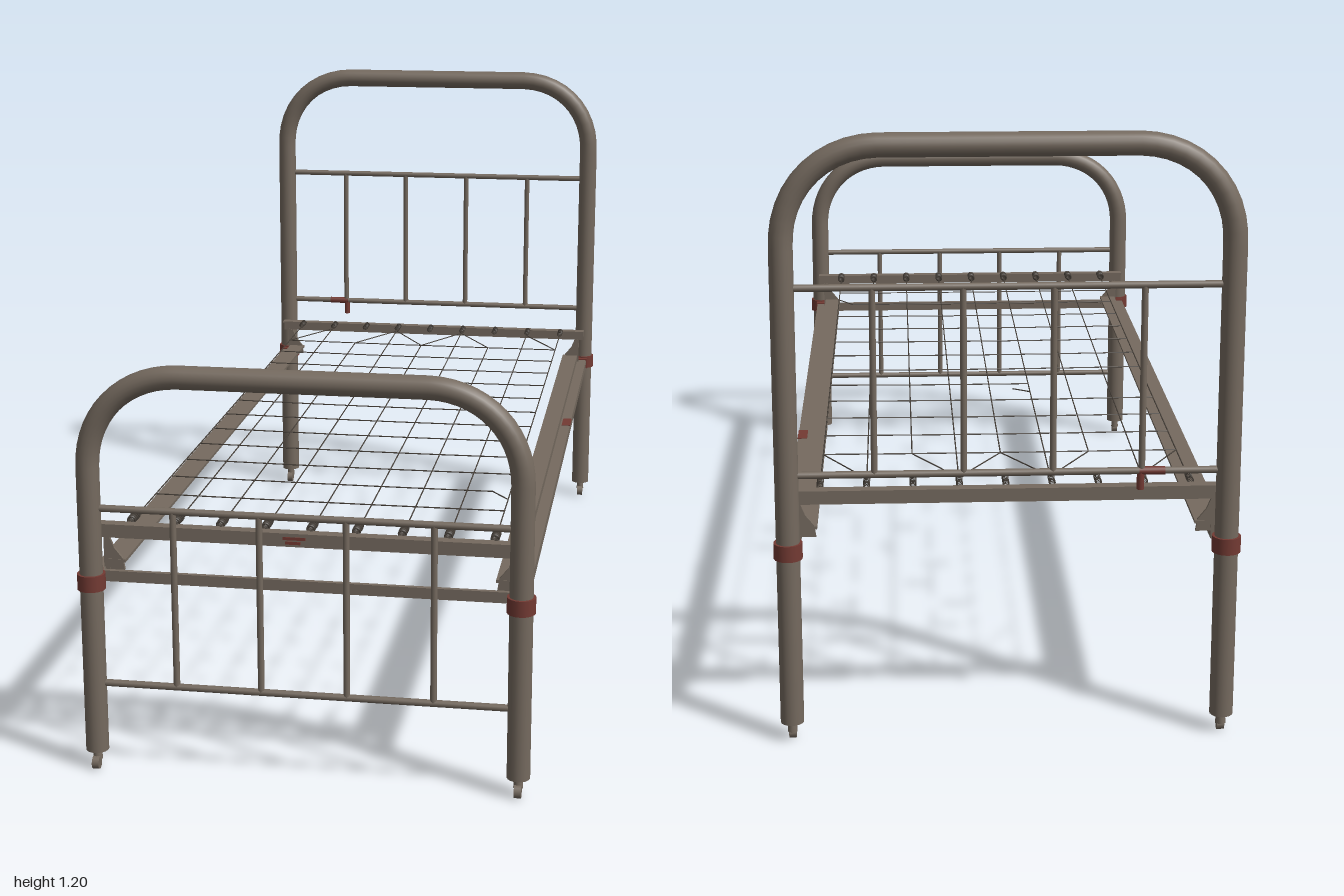
import * as THREE from 'three';
import { mergeGeometries } from 'three/addons/utils/BufferGeometryUtils.js';

const V = (x, y, z) => new THREE.Vector3(x, y, z);
const mat = (name, color) => {
  const m = new THREE.MeshStandardMaterial({ color, side: THREE.DoubleSide });
  m.name = name;
  return m;
};

const LEG_X = 0.422, END_Z = 0.972, TUBE_R = 0.023, NET_Y = 0.491;

export function createModel() {
  const bed = new THREE.Group();
  bed.name = 'ironBed';
  const metal = mat('agedMetal', 0x756a5f);
  const rust = mat('rust', 0x733a33);
  const wireMat = mat('darkWire', 0x4a433c);

  const add = (parent, name, geometry, material = metal) => {
    const mesh = new THREE.Mesh(geometry, material);
    mesh.name = name;
    parent.add(mesh);
    return mesh;
  };
  // Box given by its lower and upper corners
  const box = (parent, name, a, b, material) => {
    const g = new THREE.BoxGeometry(b[0] - a[0], b[1] - a[1], b[2] - a[2]);
    g.translate((a[0] + b[0]) / 2, (a[1] + b[1]) / 2, (a[2] + b[2]) / 2);
    return add(parent, name, g, material);
  };
  // Round rod between two points
  const rodGeo = (a, b, r, sides = 10) => {
    const d = b.clone().sub(a);
    const g = new THREE.CylinderGeometry(r, r, d.length(), sides);
    g.applyQuaternion(new THREE.Quaternion().setFromUnitVectors(V(0, 1, 0), d.normalize()));
    const m = a.clone().add(b).multiplyScalar(0.5);
    return g.translate(m.x, m.y, m.z);
  };

  // Bent tube end with rails, bars, collars and casters
  const endFrame = (name, z, topY, lowRail, highRail) => {
    const group = new THREE.Group();
    group.name = name;
    group.position.z = z;
    bed.add(group);

    const c = 0.185, k = c * 0.42, x = LEG_X, base = 0.04;
    const path = new THREE.CurvePath();
    path.add(new THREE.LineCurve3(V(-x, base, 0), V(-x, topY - c, 0)));
    path.add(new THREE.CubicBezierCurve3(V(-x, topY - c, 0), V(-x, topY - k, 0), V(-x + k, topY, 0), V(-x + c, topY, 0)));
    path.add(new THREE.LineCurve3(V(-x + c, topY, 0), V(x - c, topY, 0)));
    path.add(new THREE.CubicBezierCurve3(V(x - c, topY, 0), V(x - k, topY, 0), V(x, topY - k, 0), V(x, topY - c, 0)));
    path.add(new THREE.LineCurve3(V(x, topY - c, 0), V(x, base, 0)));
    add(group, 'bentTube', new THREE.TubeGeometry(path, 110, TUBE_R, 18));

    for (const y of [lowRail, highRail])
      add(group, 'crossRod', rodGeo(V(-x, y, 0), V(x, y, 0), 0.007));
    for (const bx of [-0.255, -0.085, 0.085, 0.255])
      add(group, 'uprightBar', rodGeo(V(bx, lowRail, 0), V(bx, highRail, 0), 0.0065));

    for (const s of [-1, 1]) {
      add(group, 'legCap', new THREE.CylinderGeometry(TUBE_R, TUBE_R, 0.004, 18)).position.set(s * x, 0.041, 0);
      add(group, 'collar', new THREE.CylinderGeometry(0.028, 0.028, 0.032, 18), rust).position.set(s * x, 0.395, 0);
      add(group, 'casterStem', new THREE.CylinderGeometry(0.008, 0.01, 0.024, 10)).position.set(s * x, 0.03, 0);
      const wheel = new THREE.CylinderGeometry(0.013, 0.013, 0.014, 14).rotateZ(Math.PI / 2);
      add(group, 'casterWheel', wheel).position.set(s * x, 0.013, 0.009);
    }
    return group;
  };
  const head = endFrame('headboard', -END_Z, 1.177, 0.545, 0.91);
  endFrame('footboard', END_Z, 0.813, 0.182, 0.545);

  // Side rails: outer bar from leg to leg and an inner angle iron
  for (const s of [-1, 1]) {
    const rail = new THREE.Group();
    rail.name = s > 0 ? 'leftSideRail' : 'rightSideRail';
    bed.add(rail);
    const span = (name, x0, x1, y0, y1, z) =>
      box(rail, name, [Math.min(s * x0, s * x1), y0, -z], [Math.max(s * x0, s * x1), y1, z]);
    span('outerBar', 0.408, 0.432, 0.384, 0.405, 0.95);
    span('angleWeb', 0.4, 0.408, 0.384, 0.422, 0.918);
    span('angleFlange', 0.368, 0.402, 0.416, 0.422, 0.918);
    // Rail hooks reaching into the collars
    for (const e of [-1, 1]) {
      const z = e * 0.945;
      box(rail, 'railHook', [s * LEG_X - 0.012, 0.382, z - 0.015], [s * LEG_X + 0.012, 0.408, z + 0.015], rust);
    }
  }

  // Raised angle irons that hold the wire net, with sloped corner brackets
  for (const e of [-1, 1]) {
    const holder = new THREE.Group();
    holder.name = e > 0 ? 'footNetHolder' : 'headNetHolder';
    bed.add(holder);
    box(holder, 'holderWeb', [-0.425, 0.467, e * 0.916 - 0.003], [0.425, 0.494, e * 0.916 + 0.003]);
    box(holder, 'holderFlange', [-0.425, 0.489, e * 0.907 - 0.012], [0.425, 0.494, e * 0.907 + 0.012]);
    for (const s of [-1, 1]) {
      const shape = new THREE.Shape([[0.412, 0.47], [0.4, 0.467], [0.391, 0.445], [0.374, 0.424], [0.37, 0.4], [0.412, 0.4]]
        .map(([x, y]) => new THREE.Vector2(s * x, y)));
      const g = new THREE.ExtrudeGeometry(shape, { depth: 0.006, bevelEnabled: false });
      add(holder, 'cornerBracket', g).position.z = e * 0.914 - 0.003;
    }
  }
  box(bed, 'footCrossBar', [-0.41, 0.384, 0.932], [0.41, 0.406, 0.942]);

  // Wire net with a slight sag and a few broken strands
  const netY = (x, z) => NET_Y + 0.001 - 0.004 * Math.cos(z * 1.6) * Math.cos(x * 3);
  const wires = [];
  const wire = (x0, z0, x1, z1, y0 = netY(x0, z0), y1 = netY(x1, z1)) =>
    wires.push(rodGeo(V(x0, y0, z0), V(x1, y1, z1), 0.0014, 5));
  const xs = Array.from({ length: 9 }, (_, i) => (i - 4) * 0.0905);
  const zs = Array.from({ length: 12 }, (_, i) => -0.685 + i * 0.1262);
  zs.forEach((z, row) => xs.slice(1).forEach((x, i) => {
    if (row === 4 && i < 3) return;
    if (row === 10 && i === 7) return wire(xs[7], z, 0.325, z);
    wire(xs[i], z, x, z);
  }));
  for (const x of xs) {
    const stops = [...zs, 0.845];
    stops.slice(1).forEach((z, i) => wire(x, stops[i], x, z));
  }
  wire(-0.09, -0.24, -0.055, -0.182, NET_Y - 0.004, NET_Y - 0.014);
  wire(0.325, 0.577, 0.36, 0.625);

  // Zigzag strands at the head
  const peaks = [1, 3, 5, 7];
  for (const i of peaks) {
    wire(xs[i], -0.84, xs[i], zs[0]);
    if (i !== 7) wire(xs[i], -0.84, xs[i - 1], zs[0]);
    if (i !== 1) wire(xs[i], -0.84, xs[i + 1], zs[0]);
  }
  for (const i of [0, 8]) wire(xs[i], -0.845, xs[i], zs[0]);
  add(bed, 'wireNet', mergeGeometries(wires), wireMat);

  // Coil springs joining the net to the holders
  const coil = (x, z0, z1, radius, thick) => {
    const turns = 6, pts = [V(x, NET_Y, z0)];
    for (let i = 0; i <= turns * 8; i++) {
      const a = i / 8 * Math.PI * 2, t = 0.1 + 0.8 * i / (turns * 8);
      pts.push(V(x + radius * Math.cos(a), NET_Y + 0.004 + radius * Math.sin(a), z0 + (z1 - z0) * t));
    }
    pts.push(V(x, NET_Y, z1));
    return new THREE.TubeGeometry(new THREE.CatmullRomCurve3(pts), 96, thick, 4);
  };
  add(bed, 'footSprings', mergeGeometries(xs.map(x => coil(x, 0.838, 0.9, 0.007, 0.0023))), wireMat);
  add(bed, 'headSprings', mergeGeometries(xs.map(x => coil(x, -0.84, -0.9, 0.006, 0.0011))), wireMat);

  // Rust patches
  box(bed, 'railRust', [0.412, 0.404, -0.31], [0.433, 0.4065, -0.25], rust);
  for (const [x0, x1, y] of [[-0.05, -0.005, 0.484], [-0.045, -0.015, 0.475]])
    box(bed, 'holderRust', [x0, y - 0.003, 0.918], [x1, y + 0.003, 0.9205], rust);
  add(head, 'rodRust', rodGeo(V(-0.3, 0.545, 0), V(-0.25, 0.545, 0), 0.0082), rust);
  add(head, 'hangingRust', rodGeo(V(-0.253, 0.508, 0), V(-0.253, 0.545, 0), 0.0073), rust);

  return bed;
}
